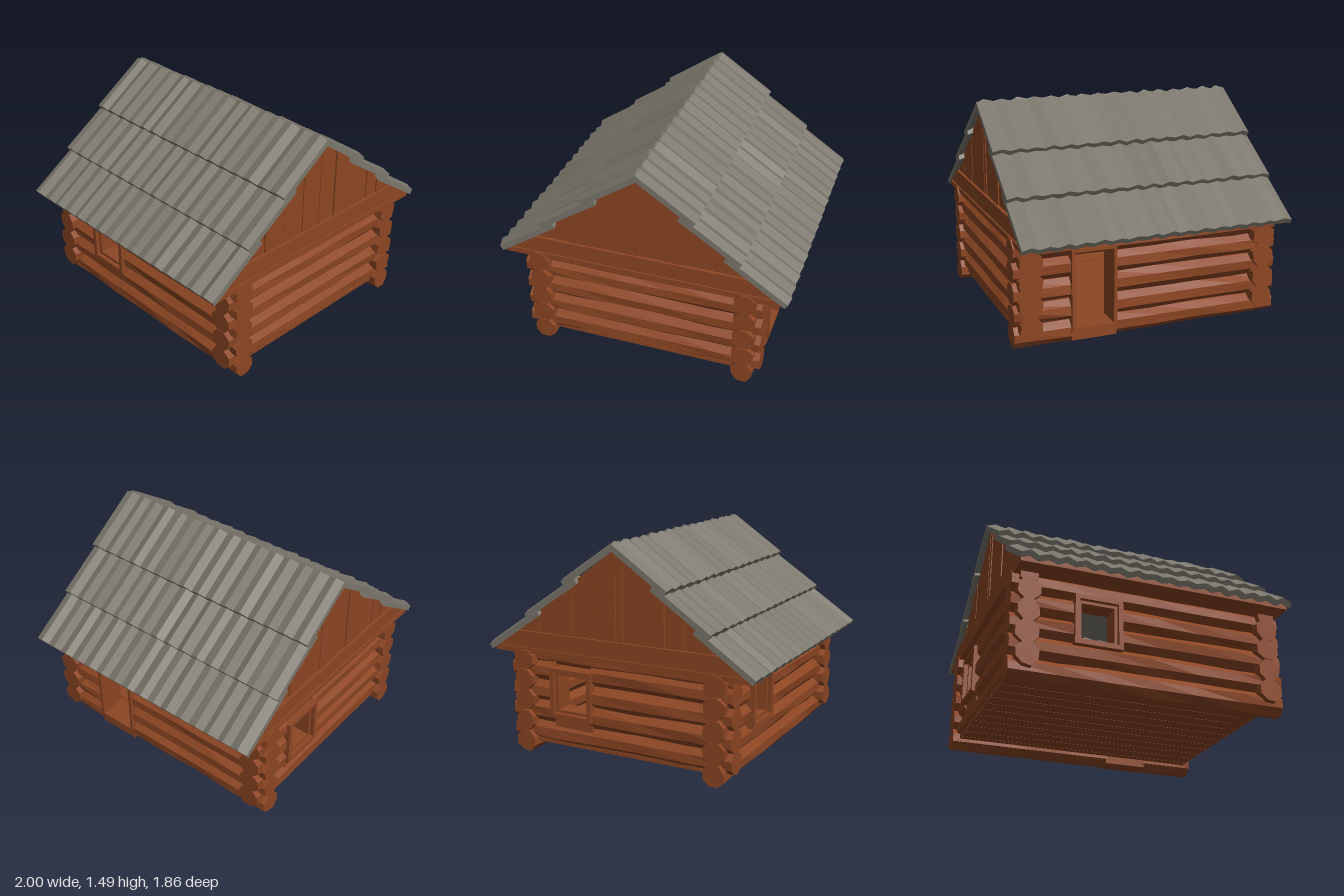
import * as THREE from 'three';

export function createModel() {
  const house = new THREE.Group();
  house.name = 'logCabin';
  const wood = new THREE.MeshStandardMaterial({ color: 0x8d4623 });
  wood.name = 'redBrownWood';
  const slate = new THREE.MeshStandardMaterial({ color: 0x7b776d });
  slate.name = 'greyRoofBoards';

  // repeatable noise in -1..1
  const noise = (a, b = 0, c = 0) => {
    const s = Math.sin(a * 12.9898 + b * 78.233 + c * 37.719) * 43758.5453;
    return (s - Math.floor(s)) * 2 - 1;
  };
  const add = (name, geometry, material, parent = house) => {
    const mesh = new THREE.Mesh(geometry, material);
    mesh.name = name;
    parent.add(mesh);
    return mesh;
  };
  // box given by its lower and upper corners
  const box = (name, x0, x1, y0, y1, z0, z1, parent = house) => {
    const mesh = add(name, new THREE.BoxGeometry(x1 - x0, y1 - y0, z1 - z0), wood, parent);
    mesh.position.set((x0 + x1) / 2, (y0 + y1) / 2, (z0 + z1) / 2);
    return mesh;
  };

  // faceted, uneven log running along x or z from a to b
  let seed = 1;
  const log = (name, axis, a, b, y, side, r) => {
    seed++;
    const len = b - a;
    const g = new THREE.CylinderGeometry(r, r, len, 8, Math.max(1, Math.round(len / 0.32)));
    const p = g.attributes.position;
    for (let i = 0; i < p.count; i++) {
      const x = p.getX(i), h = p.getY(i), z = p.getZ(i);
      const k = (Math.round(Math.atan2(x, z) / (Math.PI / 4)) + 8) % 8;
      const ring = Math.round(h * 100);
      const f = 1 + 0.09 * noise(k, ring, seed);
      p.setXYZ(i, x * f, h, z * f);
    }
    g.rotateY(Math.PI / 8);
    if (axis === 'x') g.rotateZ(-Math.PI / 2);
    else g.rotateX(Math.PI / 2);
    const flat = g.toNonIndexed();
    flat.computeVertexNormals();
    const mid = (a + b) / 2;
    add(name, flat, wood).position.set(axis === 'x' ? mid : side, y, axis === 'x' ? side : mid);
  };
  // log interrupted by an opening
  const cutLog = (name, axis, half, y, side, r, gap) => {
    if (!gap) return log(name, axis, -half, half, y, side, r);
    log(name, axis, -half, gap[0], y, side, r);
    log(name, axis, gap[1], half, y, side, r);
  };

  // log walls, with gaps for the doorway and two windows
  const door = [0.25, 0.54], leftGap = [-0.5, -0.22], backGap = [0.21, 0.49];
  [0.077, 0.22, 0.365, 0.51, 0.65].forEach((y, i) => {
    cutLog('rightWallLog', 'z', 0.93, y, 0.71, 0.077, i < 4 && door);
    cutLog('leftWallLog', 'z', 0.93, y, -0.71, 0.077, (i === 2 || i === 3) && leftGap);
  });
  [0.147, 0.29, 0.435, 0.58, 0.675].forEach((y, i) => {
    const r = i < 4 ? 0.08 : 0.06;
    cutLog('frontWallLog', 'x', 0.82, y, 0.825, r);
    cutLog('backWallLog', 'x', 0.82, y, -0.825, r, i > 0 && i < 4 && backGap);
  });

  // floor boards
  for (let i = 0; i < 12; i++) {
    const w = 1.4 / 12, x = -0.7 + i * w;
    box('floorBoard', x + 0.002, x + w - 0.002, 0.07, 0.095 + 0.003 * noise(i), -0.88, 0.88);
  }

  // rectangular frame in the xy plane: width, height, bar width, depth
  const frame = (parent, name, w, h, t, d) => {
    for (const s of [-1, 1]) {
      box(name + 'Upright', s * w / 2 - (s > 0 ? t : 0), s * w / 2 + (s > 0 ? 0 : t), -h / 2, h / 2, -d / 2, d / 2, parent);
      box(name + 'Rail', -w / 2 + t, w / 2 - t, s * h / 2 - (s > 0 ? t : 0), s * h / 2 + (s > 0 ? 0 : t), -d / 2, d / 2, parent);
    }
  };
  const opening = (name, x, y, z, turn, w, h) => {
    const g = new THREE.Group();
    g.name = name;
    frame(g, 'outerFrame', w, h, 0.03, 0.19);
    frame(g, 'innerFrame', w - 0.05, h - 0.05, 0.025, 0.13);
    g.position.set(x, y, z);
    g.rotation.y = turn;
    house.add(g);
  };
  opening('backWindow', 0.35, 0.44, -0.825, 0, 0.32, 0.34);
  opening('leftWindow', -0.71, 0.44, -0.36, Math.PI / 2, 0.32, 0.34);
  box('windowSill', 0.2, 0.5, 0.19, 0.28, -0.88, -0.77);
  // open doorway
  const doorway = new THREE.Group();
  doorway.name = 'doorFrame';
  frame(doorway, 'doorFrame', 0.31, 0.55, 0.022, 0.18);
  doorway.position.set(0.71, 0.355, 0.395);
  doorway.rotation.y = Math.PI / 2;
  house.add(doorway);
  box('doorSill', 0.64, 0.785, 0.015, 0.085, 0.24, 0.55);

  // eaves boards along the long walls
  for (const s of [-1, 1]) {
    box('eavesBoard', s > 0 ? 0.64 : -0.94, s > 0 ? 0.94 : -0.64, 0.692, 0.728, -0.9, 0.9);
  }

  // gables: tie beam and upright planks under the roof slope
  const polygon = (points, depth) => new THREE.ExtrudeGeometry(
    new THREE.Shape(points.map(q => new THREE.Vector2(...q))), { depth, bevelEnabled: false });
  const slopeY = x => 1.44 - 0.755 * Math.abs(x);
  const edges = [-0.86, -0.74, -0.6, -0.5, -0.33, -0.16, 0, 0.05, 0.15, 0.35, 0.49, 0.6, 0.73, 0.86];
  for (const s of [-1, 1]) {
    const gable = new THREE.Group();
    gable.name = s > 0 ? 'frontGable' : 'backGable';
    add('tieBeam', polygon([[-0.94, 0.728], [0.94, 0.728], [0.795, 0.84], [-0.795, 0.84]], 0.07), wood, gable)
      .position.z = 0.84;
    box('beamFoot', -0.94, 0.94, 0.69, 0.728, 0.74, 0.92, gable);
    for (let i = 0; i < edges.length - 1; i++) {
      const a = edges[i] + 0.002, b = edges[i + 1] - 0.002 - 0.002 * (noise(i, s) > 0);
      const plank = polygon([[a, 0.76], [b, 0.76], [b, slopeY(b)], [a, slopeY(a)]], 0.03);
      add('gablePlank', plank, wood, gable).position.z = 0.86 + 0.004 * noise(i, 3);
    }
    if (s < 0) gable.rotation.y = Math.PI;
    house.add(gable);
  }

  // roof: three overlapping rows of ridged boards on each slope
  const rows = [[1.0, 0.74, 0.6, 1.01], [0.7, 0.983, 0.3, 1.25], [0.4, 1.223, 0.012, 1.487]];
  const boards = 16, halfLength = 0.93;
  for (const s of [-1, 1]) {
    rows.forEach(([x0, y0, x1, y1], row) => {
      const top = [];
      for (let i = 0; i <= boards * 2; i++) {
        const inner = i > 0 && i < boards * 2;
        const z = -halfLength + (i * halfLength) / boards + (inner ? 0.007 * noise(i, row, s) : 0);
        top.push([z, (i % 2 ? -0.002 : -0.021) + 0.005 * noise(i, row + 5, s)]);
      }
      const under = top.map(([z, n]) => [z, n - 0.038]).reverse();
      const length = Math.hypot(x1 - x0, y1 - y0);
      const g = polygon([...top, ...under], length);
      const up = new THREE.Vector3(s * (x1 - x0), y1 - y0, 0).normalize();
      const out = new THREE.Vector3(s * up.y, Math.abs(up.x), 0);
      const along = new THREE.Vector3().crossVectors(out, up);
      g.applyMatrix4(new THREE.Matrix4().makeBasis(along, out, up).setPosition(s * x0, y0, 0));
      add(s > 0 ? 'rightRoofRow' : 'leftRoofRow', g, slate);
    });
  }
  return house;
}
